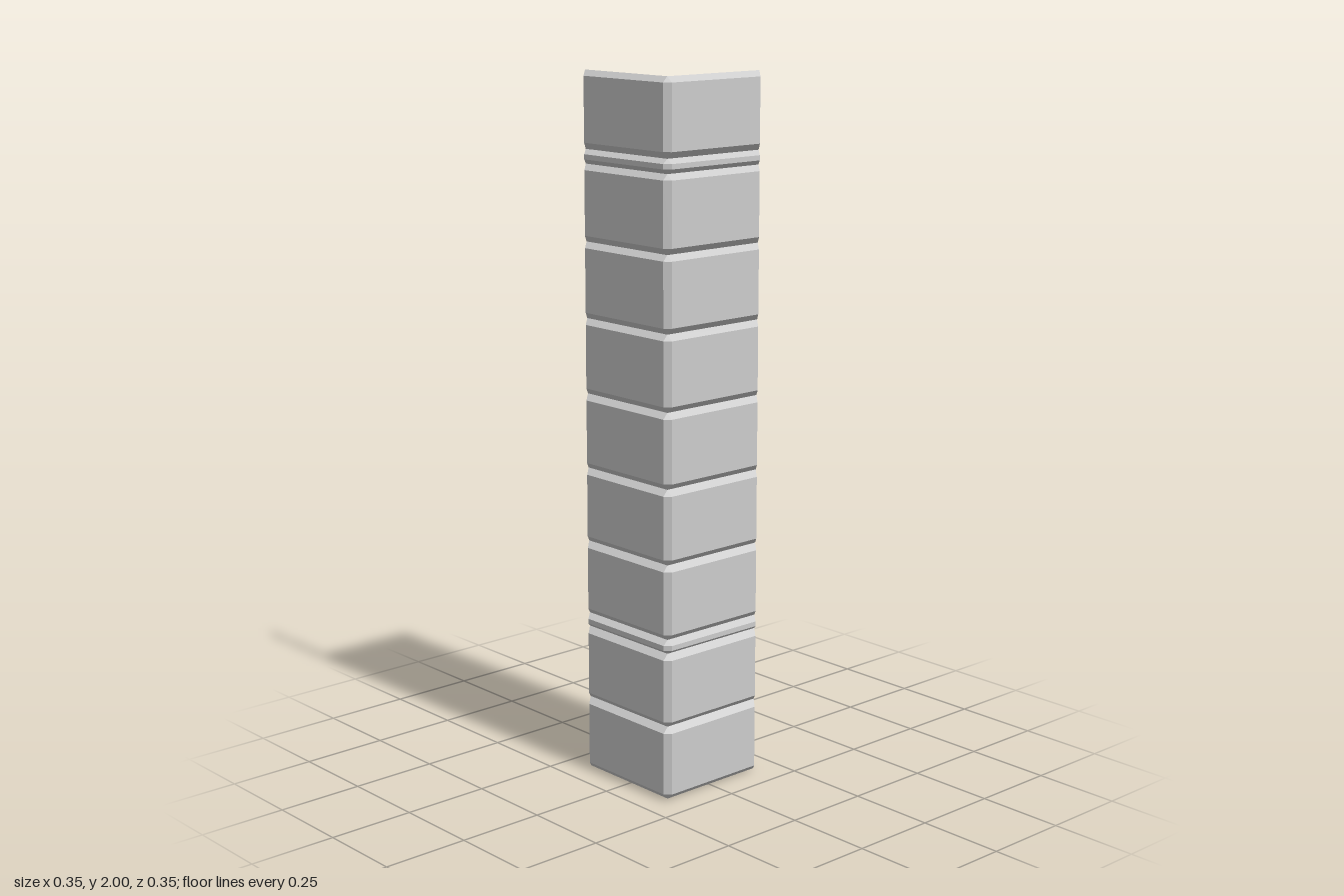
import * as THREE from 'three';

// Plan outlines [x, z], running from the free front end round the corner to the free side end.
const GROOVE = [[0.176, 0.155], [0.176, 0.155], [-0.157, 0.155], [-0.157, 0.155], [-0.157, -0.176], [-0.157, -0.176]];
const FACE = [[0.176, 0.155], [0.16, 0.176], [-0.16, 0.176], [-0.176, 0.16], [-0.176, -0.16], [-0.157, -0.176]];

// One L-shaped bevelled block: an open shell lofted groove -> face -> face -> groove.
function blockGeometry(height, bottomBevel, topBevel) {
  const rings = [[GROOVE, 0], [FACE, bottomBevel], [FACE, height - topBevel], [GROOVE, height]]
    .map(([outline, y]) => outline.map(([x, z]) => new THREE.Vector3(x, y, z)));
  const points = [];
  const addTriangle = (a, b, c) => {
    // skip the collapsed triangles where the bevels meet in a point
    if (new THREE.Triangle(a, b, c).getArea() > 1e-7) points.push(a, b, c);
  };
  for (let r = 0; r < rings.length - 1; r++) {
    for (let i = 0; i < GROOVE.length - 1; i++) {
      const a = rings[r][i], b = rings[r][i + 1];
      const d = rings[r + 1][i], c = rings[r + 1][i + 1];
      addTriangle(a, c, b);
      addTriangle(a, d, c);
    }
  }
  const geometry = new THREE.BufferGeometry().setFromPoints(points);
  geometry.computeVertexNormals();
  return geometry;
}

export function createModel() {
  const group = new THREE.Group();
  group.name = 'cornerTrim';
  const material = new THREE.MeshStandardMaterial({ color: 0xcccccc, flatShading: true, side: THREE.DoubleSide });

  const bandHeight = 0.04;
  const blockHeight = (2 - 2 * bandHeight) / 9;
  const block = blockGeometry(blockHeight, 0.019, 0.015);
  const band = blockGeometry(bandHeight, 0.014, 0.012);

  // Nine tall blocks, with a narrow band above the second and the eighth
  let y = 0;
  const stack = (geometry, height, name) => {
    const mesh = new THREE.Mesh(geometry, material);
    mesh.name = name;
    mesh.position.y = y;
    group.add(mesh);
    y += height;
  };
  for (let i = 1; i <= 9; i++) {
    stack(block, blockHeight, 'cornerBlock' + i);
    if (i === 2) stack(band, bandHeight, 'lowerBand');
    if (i === 8) stack(band, bandHeight, 'upperBand');
  }
  return group;
}
